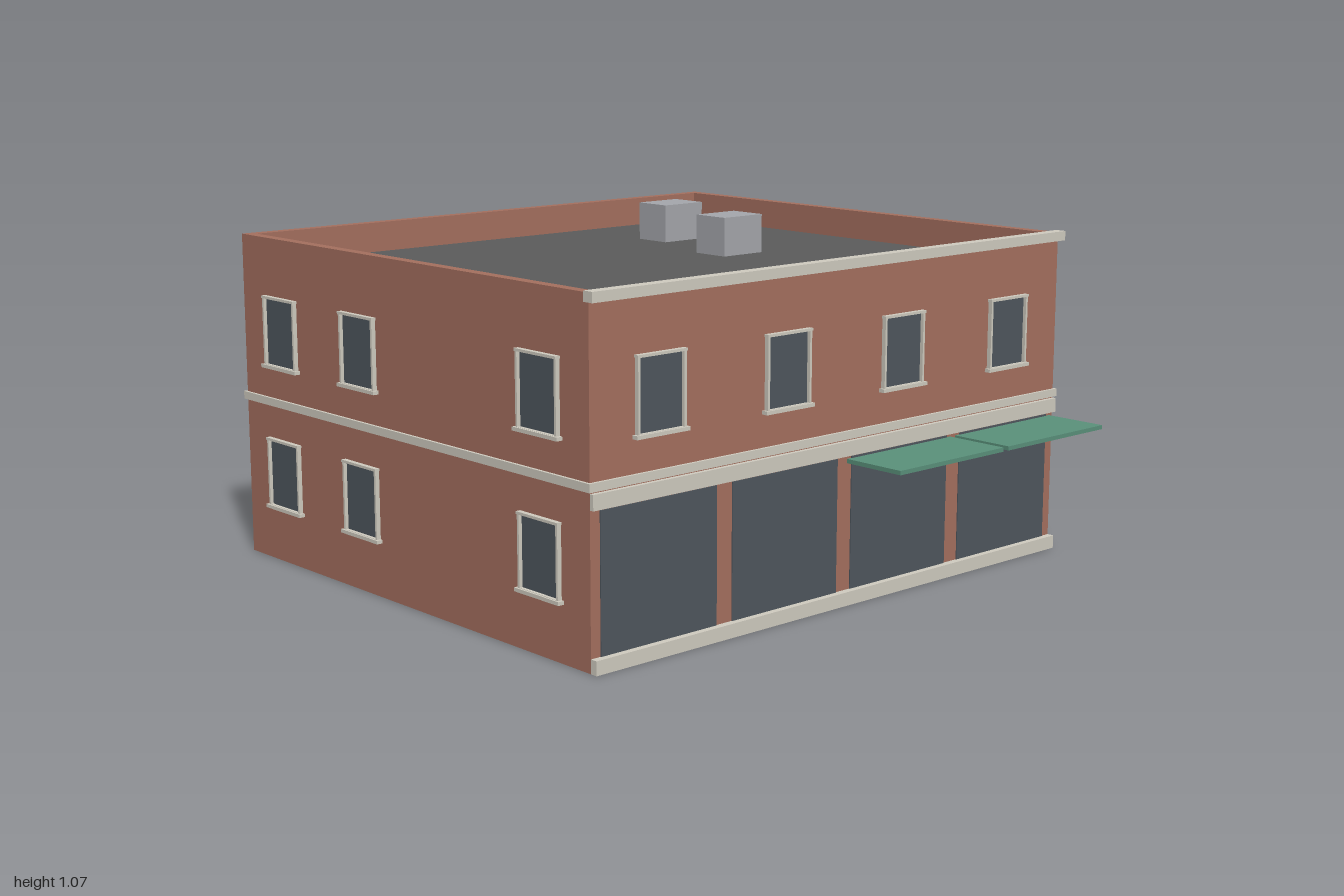
import * as THREE from 'three';

const mat = (color) => new THREE.MeshStandardMaterial({ color });
const brick = mat(0xa5705f), trim = mat(0xd0ccc0), glass = mat(0x4f575e);
const roofing = mat(0x5c5c5c), canvas = mat(0x5a917b), metal = mat(0xa5a7ac);

// Outer wall limits
const X = 0.98, BACK = -0.955, FRONT = 0.76, MID = (FRONT + BACK) / 2;

// Box given by its minimum and maximum on each axis
function box(name, material, [x0, x1], [y0, y1], [z0, z1]) {
  const mesh = new THREE.Mesh(new THREE.BoxGeometry(x1 - x0, y1 - y0, z1 - z0), material);
  mesh.position.set((x0 + x1) / 2, (y0 + y1) / 2, (z0 + z1) / 2);
  mesh.name = name;
  return mesh;
}

// Rectangle with a rectangular hole, extruded along +z
function frameGeometry(w, h, holeW, holeH, depth) {
  const rect = (path, a, b) => path.moveTo(-a / 2, -b / 2).lineTo(a / 2, -b / 2)
    .lineTo(a / 2, b / 2).lineTo(-a / 2, b / 2).closePath();
  const shape = rect(new THREE.Shape(), w, h);
  shape.holes.push(rect(new THREE.Path(), holeW, holeH));
  return new THREE.ExtrudeGeometry(shape, { depth, bevelEnabled: false });
}

// Horizontal ring that follows the outer walls
function wallRing(name, material, out, inset, y0, y1) {
  const w = 2 * X, d = FRONT - BACK;
  const geo = frameGeometry(w + 2 * out, d + 2 * out, w - 2 * inset, d - 2 * inset, y1 - y0);
  const mesh = new THREE.Mesh(geo.rotateX(-Math.PI / 2), material);
  mesh.position.set(0, y0, MID);
  mesh.name = name;
  return mesh;
}

// Window facing +z, centred on its own origin
const windowFrame = frameGeometry(0.176, 0.224, 0.16, 0.21, 0.014);
function makeWindow(x, y, z, turn) {
  const group = new THREE.Group();
  const frame = new THREE.Mesh(windowFrame, trim);
  frame.name = 'windowFrame';
  group.add(
    frame,
    box('windowPane', glass, [-0.081, 0.081], [-0.106, 0.106], [-0.005, 0.003]),
    box('windowLintel', trim, [-0.09, 0.09], [0.105, 0.113], [0, 0.016]),
    box('windowSill', trim, [-0.097, 0.097], [-0.117, -0.106], [0, 0.02]),
  );
  group.position.set(x, y, z);
  group.rotation.y = turn;
  group.name = 'window';
  return group;
}

export function createModel() {
  const model = new THREE.Group();
  model.name = 'shopBuilding';

  // Walls, parapet and sunken flat roof
  const roofY = 0.94, wall = 0.035;
  model.add(
    box('walls', brick, [-X, X], [0, roofY], [BACK, FRONT]),
    wallRing('parapet', brick, 0, wall, roofY, 1.04),
    box('roof', roofing, [-X + wall, X - wall], [roofY - 0.01, roofY + 0.003], [BACK + wall, FRONT - wall]),
  );

  // Rooftop units
  for (const [x, z] of [[0.473, -0.528], [0.365, -0.12]]) {
    model.add(box('rooftopUnit', metal, [x - 0.085, x + 0.085], [roofY, 1.07], [z - 0.067, z + 0.067]));
  }

  // Stone trim
  model.add(
    box('frontBase', trim, [-X, X], [0, 0.042], [FRONT, 0.783]),
    box('signBand', trim, [-X, X], [0.455, 0.5], [FRONT, 0.774]),
    wallRing('beltCourse', trim, 0.009, 0, 0.505, 0.53),
    box('cornice', trim, [-0.987, 0.987], [1.015, 1.045], [0.747, 0.784]),
  );

  // Shop windows, one per bay
  const bays = [-1.5, -0.5, 0.5, 1.5].map((i) => i * 0.488);
  for (const x of bays) {
    model.add(box('shopWindow', glass, [x - 0.214, x + 0.214], [0.042, 0.45], [FRONT - 0.01, FRONT + 0.003]));
  }

  // Awnings over the two bays on the left
  for (const x of bays.slice(2)) {
    model.add(box('awning', canvas, [x - 0.232, x + 0.232], [0.431, 0.444], [FRONT, 0.973]));
  }

  // Front and back windows
  const lower = 0.287, upper = 0.744;
  for (const x of bays) {
    model.add(makeWindow(x, upper, FRONT, 0));
    for (const y of [lower, upper]) model.add(makeWindow(x, y, BACK, Math.PI));
  }

  // Side windows, with blank wall where one is left out
  const rows = [0.55, 0.12, -0.31, -0.738];
  rows.forEach((z, i) => {
    for (const y of [lower, upper]) {
      if (!(i === 2 && y === lower)) model.add(makeWindow(X, y, z, Math.PI / 2));
      if (i !== 1) model.add(makeWindow(-X, y, z, -Math.PI / 2));
    }
  });

  return model;
}
